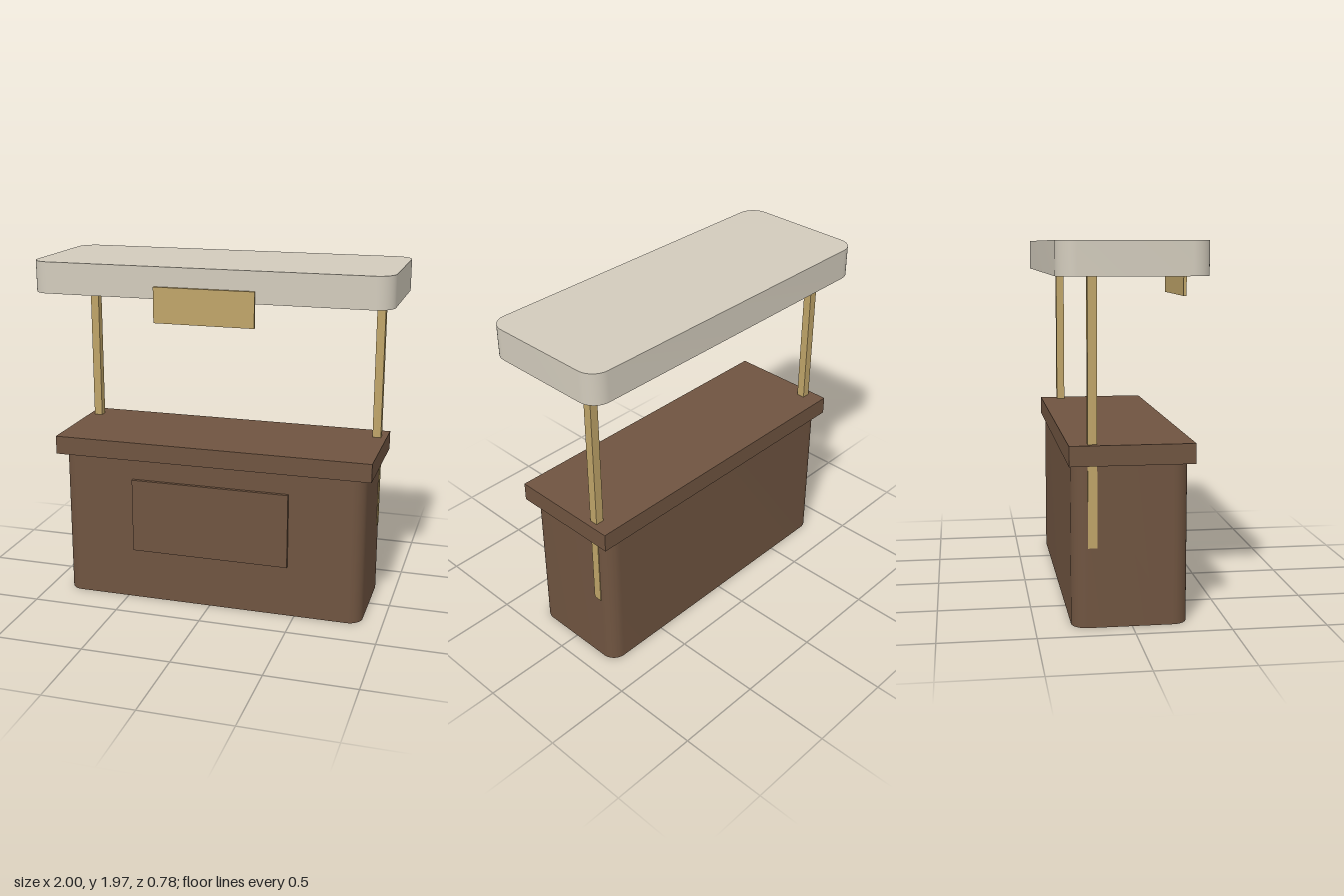
import * as THREE from 'three';
import { toCreasedNormals } from 'three/addons/utils/BufferGeometryUtils.js';

const mat = (name, color) => Object.assign(new THREE.MeshStandardMaterial({ color }), { name });

// Upright slab with rounded vertical corners
function roundedSlab(x, y0, y1, z0, z1, r) {
  const s = new THREE.Shape();
  s.absarc(x - r, -z0 - r, r, 0, Math.PI / 2);
  s.absarc(-x + r, -z0 - r, r, Math.PI / 2, Math.PI);
  s.absarc(-x + r, -z1 + r, r, Math.PI, Math.PI * 1.5);
  s.absarc(x - r, -z1 + r, r, Math.PI * 1.5, Math.PI * 2);
  s.closePath();
  const g = new THREE.ExtrudeGeometry(s, { depth: y1 - y0, bevelEnabled: false, curveSegments: 8 });
  g.rotateX(-Math.PI / 2).translate(0, y0, 0);
  return toCreasedNormals(g, 0.7);
}

// Box given by its limits
function box(x0, x1, y0, y1, z0, z1) {
  return new THREE.BoxGeometry(x1 - x0, y1 - y0, z1 - z0)
    .translate((x0 + x1) / 2, (y0 + y1) / 2, (z0 + z1) / 2);
}

export function createModel() {
  const group = new THREE.Group();
  group.name = 'marketStall';
  const wood = mat('dark wood', 0x6f5440);
  const brass = mat('pale brass', 0xbfa468);
  const canvas = mat('cream canvas', 0xd2cbbc);

  const add = (name, geometry, material) => {
    const mesh = new THREE.Mesh(geometry, material);
    mesh.name = name;
    group.add(mesh);
  };

  // Counter
  add('counterBody', roundedSlab(0.88, 0, 0.85, -0.31, 0.293, 0.08), wood);
  add('counterTop', box(-0.917, 0.917, 0.85, 0.955, -0.328, 0.318), wood);
  add('frontPanel', box(-0.458, 0.458, 0.3, 0.73, 0.28, 0.313), wood);

  // Posts, standing slightly proud of the counter ends
  for (const [name, side] of [['leftPost', 1], ['rightPost', -1]]) {
    add(name, box(side * 0.86 - 0.024, side * 0.86 + 0.024, 0.42, 1.8, -0.23, -0.182), brass);
  }

  // Canopy and hanging sign board
  add('canopy', roundedSlab(1, 1.793, 1.967, -0.391, 0.375, 0.1), canvas);
  add('signBoard', box(-0.28, 0.28, 1.665, 1.86, 0.374, 0.391), brass);
  return group;
}
